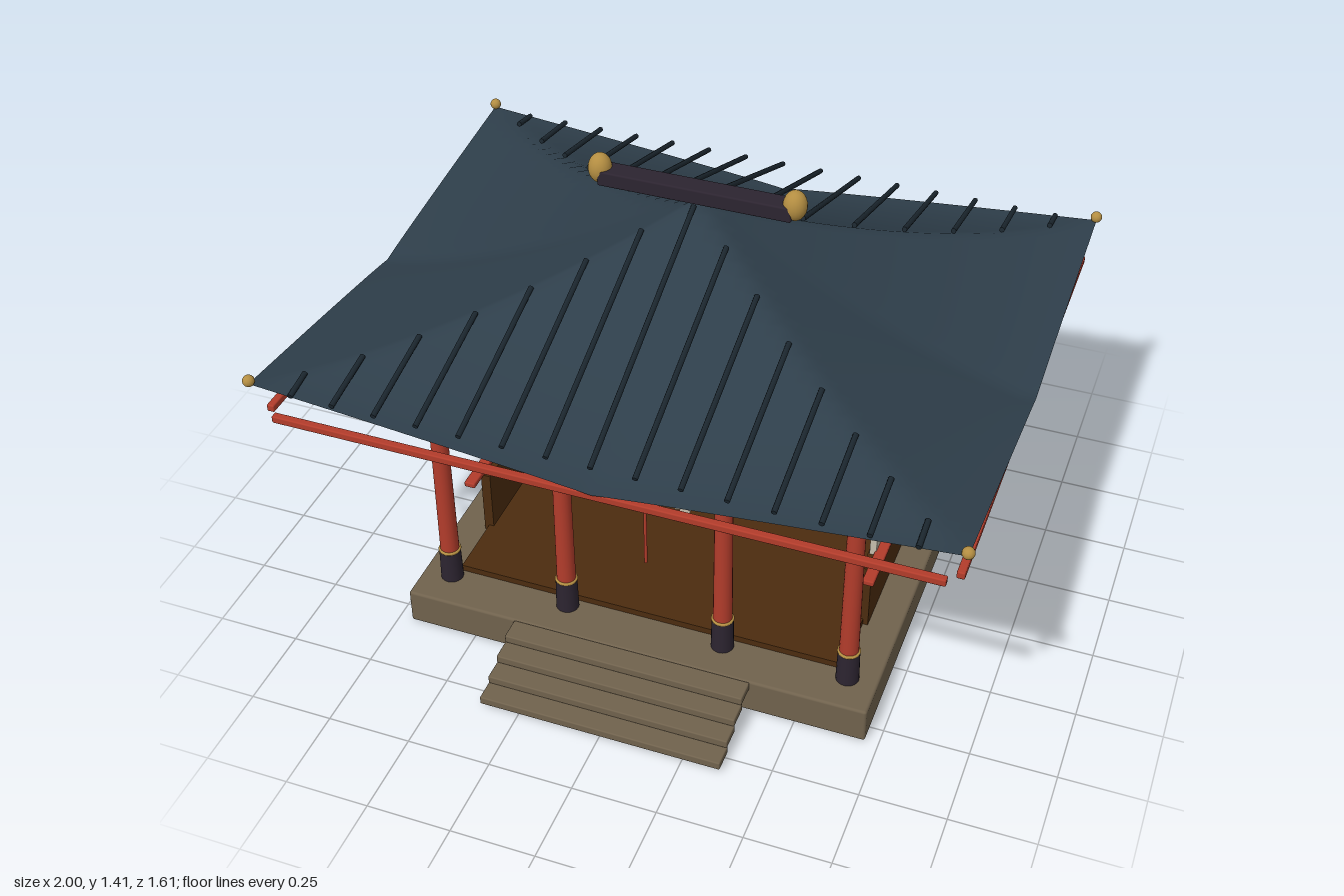
import * as THREE from 'three';
import { RoundedBoxGeometry } from 'three/addons/geometries/RoundedBoxGeometry.js';

const mat = (name, color, side = THREE.FrontSide) => {
  const m = new THREE.MeshStandardMaterial({ color, side });
  m.name = name;
  return m;
};

export function createModel() {
  const stone = mat('stone', 0x70624d);
  const wood = mat('brown wood', 0x4c2c0f);
  const red = mat('red lacquer', 0xb23c2b);
  const dark = mat('dark iron', 0x2c2430);
  const gold = mat('gold', 0xb48e42);
  const plaster = mat('plaster', 0xc6beae, THREE.DoubleSide);
  const tile = mat('roof tile', 0x2e3e4a, THREE.DoubleSide);
  const ribMat = mat('roof rib', 0x1b262e);
  const paper = mat('door paper', 0xd0ae82);
  const latticeMat = mat('lattice wood', 0x2a190b);

  const model = new THREE.Group();
  model.name = 'shrine';

  const add = (name, geo, material, x = 0, y = 0, z = 0, parent = model) => {
    const m = new THREE.Mesh(geo, material);
    m.name = name;
    m.position.set(x, y, z);
    parent.add(m);
    return m;
  };
  // Box given by its ranges on each axis
  const box = (name, material, [x0, x1], [y0, y1], [z0, z1], bevel = 0, parent = model) => {
    const w = x1 - x0, h = y1 - y0, d = z1 - z0;
    const geo = bevel ? new RoundedBoxGeometry(w, h, d, 2, bevel) : new THREE.BoxGeometry(w, h, d);
    return add(name, geo, material, (x0 + x1) / 2, (y0 + y1) / 2, (z0 + z1) / 2, parent);
  };
  const group = (name) => {
    const g = new THREE.Group();
    g.name = name;
    model.add(g);
    return g;
  };
  // Cylinder between two points
  const rod = (name, a, b, r, material, parent) => {
    const dir = b.clone().sub(a);
    const m = add(name, new THREE.CylinderGeometry(r, r, dir.length(), 8), material, 0, 0, 0, parent);
    m.position.copy(a).add(b).multiplyScalar(0.5);
    m.quaternion.setFromUnitVectors(new THREE.Vector3(0, 1, 0), dir.normalize());
  };

  // Stone platform, steps and deck
  box('platform', stone, [-0.71, 0.71], [0.003, 0.117], [-0.557, 0.557], 0.008);
  const steps = group('steps');
  for (let i = 0; i < 4; i++) {
    const z = 0.74 - i * 0.061;
    box('step', stone, [-0.365, 0.365], [0.016 + i * 0.025, 0.042 + i * 0.025], [z, z + 0.07], 0.004, steps);
  }
  box('deck', wood, [-0.6, 0.6], [0.11, 0.137], [-0.42, 0.415]);

  // Columns with iron shoes and gold rings
  const columns = group('columns');
  for (const z of [-0.443, 0.443]) {
    for (const x of [-0.62, -0.243, 0.243, 0.62]) {
      add('column', new THREE.CylinderGeometry(0.025, 0.029, 0.645, 20), red, x, 0.4375, z, columns);
      add('columnShoe', new THREE.CylinderGeometry(0.032, 0.034, 0.107, 20), dark, x, 0.17, z, columns);
      const ring = add('columnRing', new THREE.TorusGeometry(0.029, 0.005, 8, 24), gold, x, 0.226, z, columns);
      ring.rotation.x = Math.PI / 2;
    }
  }

  // Side and back walls with rails
  for (const s of [-1, 1]) {
    const span = (c, w) => [s * c - w / 2, s * c + w / 2];
    box('sideLowerWall', wood, span(0.6, 0.03), [0.117, 0.335], [-0.425, 0.22]);
    box('sidePlaster', plaster, span(0.6, 0.02), [0.335, 0.735], [-0.365, 0.155]);
    box('sideRail', red, span(0.622, 0.034), [0.333, 0.351], [-0.5, 0.285], 0.004);
    box('frontWing', wood, span(0.47, 0.24), [0.137, 0.69], [-0.15, -0.13]);
  }
  box('backLowerWall', wood, [-0.61, 0.61], [0.117, 0.335], [-0.44, -0.418]);
  box('backPlaster', plaster, [-0.6, 0.6], [0.335, 0.735], [-0.44, -0.42]);
  box('backRail', red, [-0.635, 0.635], [0.333, 0.351], [-0.5, -0.466], 0.004);

  // Lattice doors
  const doors = group('latticeDoors');
  box('doorSill', wood, [-0.35, 0.35], [0.137, 0.195], [-0.15, -0.125], 0, doors);
  box('doorPaper', paper, [-0.35, 0.35], [0.195, 0.73], [-0.15, -0.135], 0, doors);
  for (let i = 0; i < 10; i++) {
    const x = (i - 4.5) * 0.0775;
    box('verticalBar', latticeMat, [x - 0.006, x + 0.006], [0.195, 0.73], [-0.14, -0.122], 0, doors);
  }
  for (const y of [0.2, 0.255, 0.325, 0.44, 0.555, 0.665]) {
    box('crossBar', latticeMat, [-0.355, 0.355], [y - 0.005, y + 0.005], [-0.14, -0.124], 0, doors);
  }

  // Beam, cornice, rafter ends and eave frame
  box('beam', red, [-0.67, 0.67], [0.757, 0.81], [-0.498, 0.498], 0.006);
  box('cornice', plaster, [-0.7, 0.7], [0.816, 0.851], [-0.527, 0.527], 0.004);
  box('corniceCore', plaster, [-0.64, 0.64], [0.8, 0.82], [-0.47, 0.47]);
  const rafters = group('rafterEnds');
  for (const s of [-1, 1]) {
    for (let i = -6; i <= 6; i++) {
      const end = add('rafterEnd', new THREE.CylinderGeometry(0.014, 0.014, 0.07, 10), gold, i * 0.1155, 0.864, s * 0.545, rafters);
      end.rotation.x = Math.PI / 2;
    }
    box('eaveBarLong', red, [-0.935, 0.935], [0.871, 0.893], [s * 0.77 - 0.011, s * 0.77 + 0.011], 0.004);
    box('eaveBarShort', red, [s * 0.962 - 0.011, s * 0.962 + 0.011], [0.871, 0.893], [-0.74, 0.74], 0.004);
  }

  // Swept hip roof: concave slope with lifted corners
  const RX = 0.985, RZ = 0.787;
  const roofY = (x, z) => {
    const p = Math.min(1, Math.abs(x) / RX), q = Math.min(1, Math.abs(z) / RZ);
    return 0.895 + 0.425 * Math.pow(1 - Math.max(p, q), 1.4) + 0.1 * Math.pow(p * q, 0.9);
  };
  const roofGeo = new THREE.PlaneGeometry(2 * RX, 2 * RZ, 48, 48).rotateX(-Math.PI / 2);
  const pos = roofGeo.attributes.position;
  for (let i = 0; i < pos.count; i++) pos.setY(i, roofY(pos.getX(i), pos.getZ(i)));
  roofGeo.computeVertexNormals();
  add('roof', roofGeo, tile);

  // Straight ribs from the hips out to the eaves
  const ribs = group('roofRibs');
  for (const s of [-1, 1]) {
    for (let i = -7; i <= 7; i++) {
      const x = i * 0.123, z = Math.max(0.02, Math.abs(i) * 0.1);
      rod('roofRib', new THREE.Vector3(x, roofY(x, z) + 0.008, s * z),
        new THREE.Vector3(x, 0.985, s * RZ), 0.008, ribMat, ribs);
    }
  }

  // Ridge beam, its finials and the corner knobs
  box('ridgeBeam', dark, [-0.28, 0.28], [1.325, 1.37], [-0.032, 0.032], 0.005);
  for (const s of [-1, 1]) {
    add('ridgeFinial', new THREE.SphereGeometry(0.034, 20, 14), gold, s * 0.282, 1.365, 0).scale.y = 1.32;
    for (const t of [-1, 1]) {
      add('cornerKnob', new THREE.SphereGeometry(0.017, 14, 10), gold, s * 0.983, 1.006, t * 0.787);
    }
  }

  // Hanging rope with paper streamers
  const rope = new THREE.QuadraticBezierCurve3(
    new THREE.Vector3(-0.235, 0.725, 0.443), new THREE.Vector3(0, 0.605, 0.443), new THREE.Vector3(0.235, 0.725, 0.443));
  add('rope', new THREE.TubeGeometry(rope, 24, 0.013, 10), stone);
  const streamers = group('streamers');
  for (const x of [-0.12, 0, 0.12]) {
    for (let i = 0; i < 4; i++) {
      const top = (x ? 0.675 : 0.655) - i * 0.022;
      const piece = add('streamerFold', new THREE.BoxGeometry(0.028, 0.03, 0.004), plaster,
        x + (i % 2 ? 0.009 : -0.009), top - 0.012, 0.447, streamers);
      piece.rotation.z = i % 2 ? -0.35 : 0.35;
    }
  }

  // Bell and its pull cord
  add('bell', new THREE.SphereGeometry(0.024, 18, 12), gold, 0, 0.722, 0.42);
  add('bellCord', new THREE.CylinderGeometry(0.005, 0.005, 0.36, 8), red, 0, 0.525, 0.42);

  return model;
}
